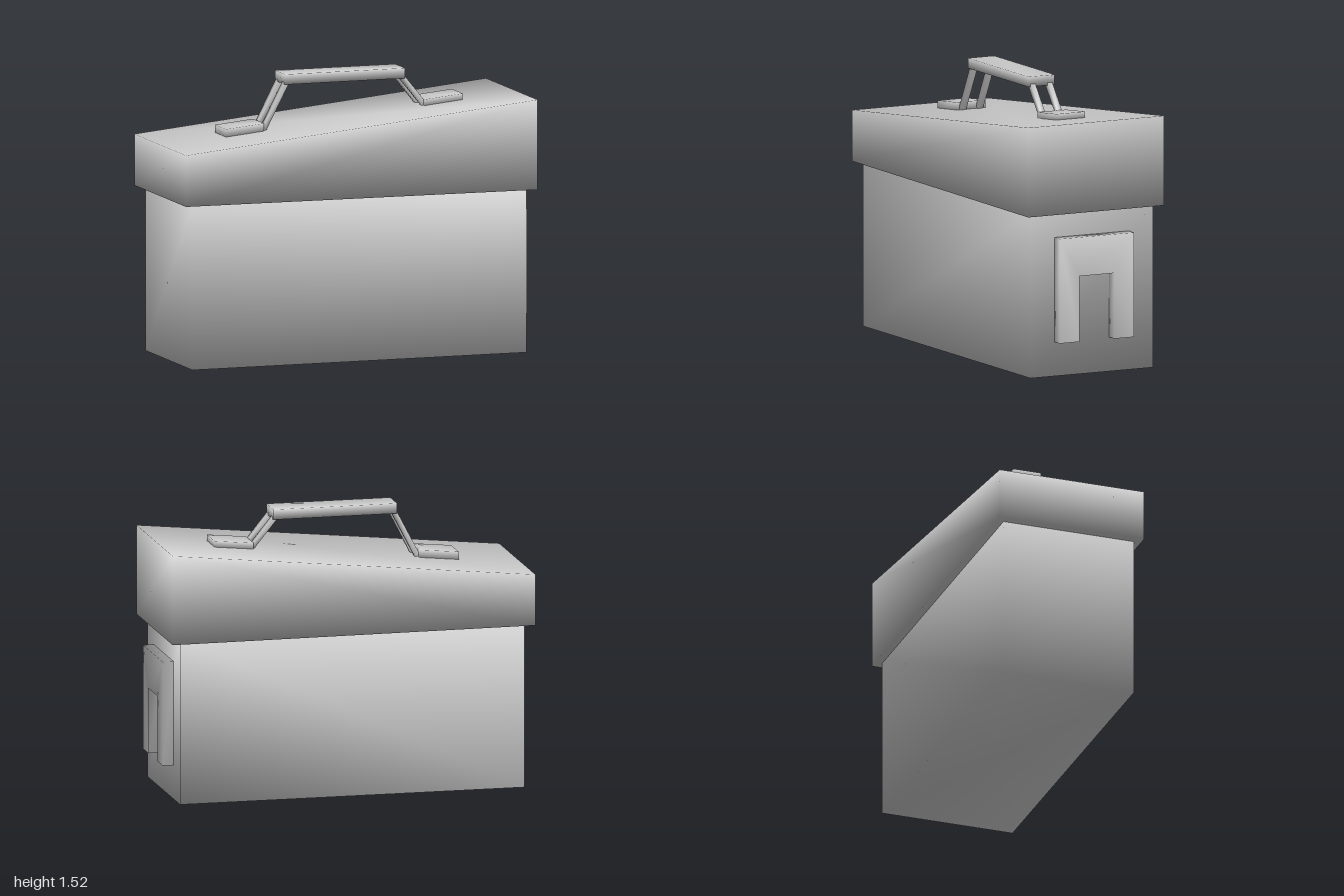
import * as THREE from 'three';
import { mergeVertices } from 'three/addons/utils/BufferGeometryUtils.js';

const grey = new THREE.MeshStandardMaterial({ color: 0xcccccc });

// Weld corners so that shading flows smoothly over the edges
function soften(geometry) {
  geometry.deleteAttribute('normal');
  geometry.deleteAttribute('uv');
  const welded = mergeVertices(geometry, 1e-4);
  welded.computeVertexNormals();
  return welded;
}

// Prism from an outline in the xy plane, spanning z0 to z1
function prism(points, z0, z1) {
  const shape = new THREE.Shape(points.map(([x, y]) => new THREE.Vector2(x, y)));
  const geometry = new THREE.ExtrudeGeometry(shape, { depth: z1 - z0, bevelEnabled: false });
  return geometry.translate(0, 0, z0);
}

function part(parent, name, geometry) {
  const mesh = new THREE.Mesh(soften(geometry), grey);
  mesh.name = name;
  parent.add(mesh);
  return mesh;
}

// Height of the sloping lid at x
const lidTop = (x) => 1.165 + 0.1005 * (x + 1);

export function createModel() {
  const model = new THREE.Group();
  model.name = 'carryCase';

  // Main box and overhanging sloped lid
  part(model, 'body', prism([[-0.95, 0], [0.94, 0], [0.94, 0.89], [-0.95, 0.89]], -0.37, 0.37));
  part(model, 'lid', prism([[-1, 0.888], [0.99, 0.88], [0.99, lidTop(0.99)], [-1, lidTop(-1)]], -0.41, 0.41));

  // Arch-shaped bracket on the left end, drawn in xy and turned to face +x
  const arch = [
    [-0.225, 0.185], [-0.105, 0.185], [-0.105, 0.54], [0.105, 0.54],
    [0.105, 0.185], [0.225, 0.185], [0.225, 0.75], [-0.225, 0.75],
  ];
  part(model, 'sideBracket', prism(arch, 0.935, 1).rotateY(Math.PI / 2));

  // Carrying handle: grip, two mounting pads and paired struts
  const handle = new THREE.Group();
  handle.name = 'handle';
  model.add(handle);
  part(handle, 'grip', prism([[-0.32, 1.465], [0.36, 1.465], [0.36, 1.52], [-0.32, 1.52]], -0.085, 0.072));

  const mounts = [
    { side: 'right', x0: -0.655, x1: -0.44, rise: 0.042, foot: [-0.435, 1.225], head: [-0.305, 1.475] },
    { side: 'left', x0: 0.47, x1: 0.685, rise: 0.033, foot: [0.475, 1.315], head: [0.345, 1.475] },
  ];
  for (const { side, x0, x1, rise, foot, head } of mounts) {
    part(handle, side + 'Pad', prism([
      [x0, lidTop(x0) - 0.01], [x1, lidTop(x1) - 0.01],
      [x1, lidTop(x1) + rise], [x0, lidTop(x0) + rise],
    ], -0.097, 0.077));

    const dx = head[0] - foot[0], dy = head[1] - foot[1];
    for (const z of [-0.057, 0.045]) {
      const strut = part(handle, side + 'Strut', new THREE.BoxGeometry(0.028, Math.hypot(dx, dy), 0.03));
      strut.position.set((foot[0] + head[0]) / 2, (foot[1] + head[1]) / 2, z);
      strut.rotation.z = -Math.atan2(dx, dy);
    }
  }
  return model;
}
